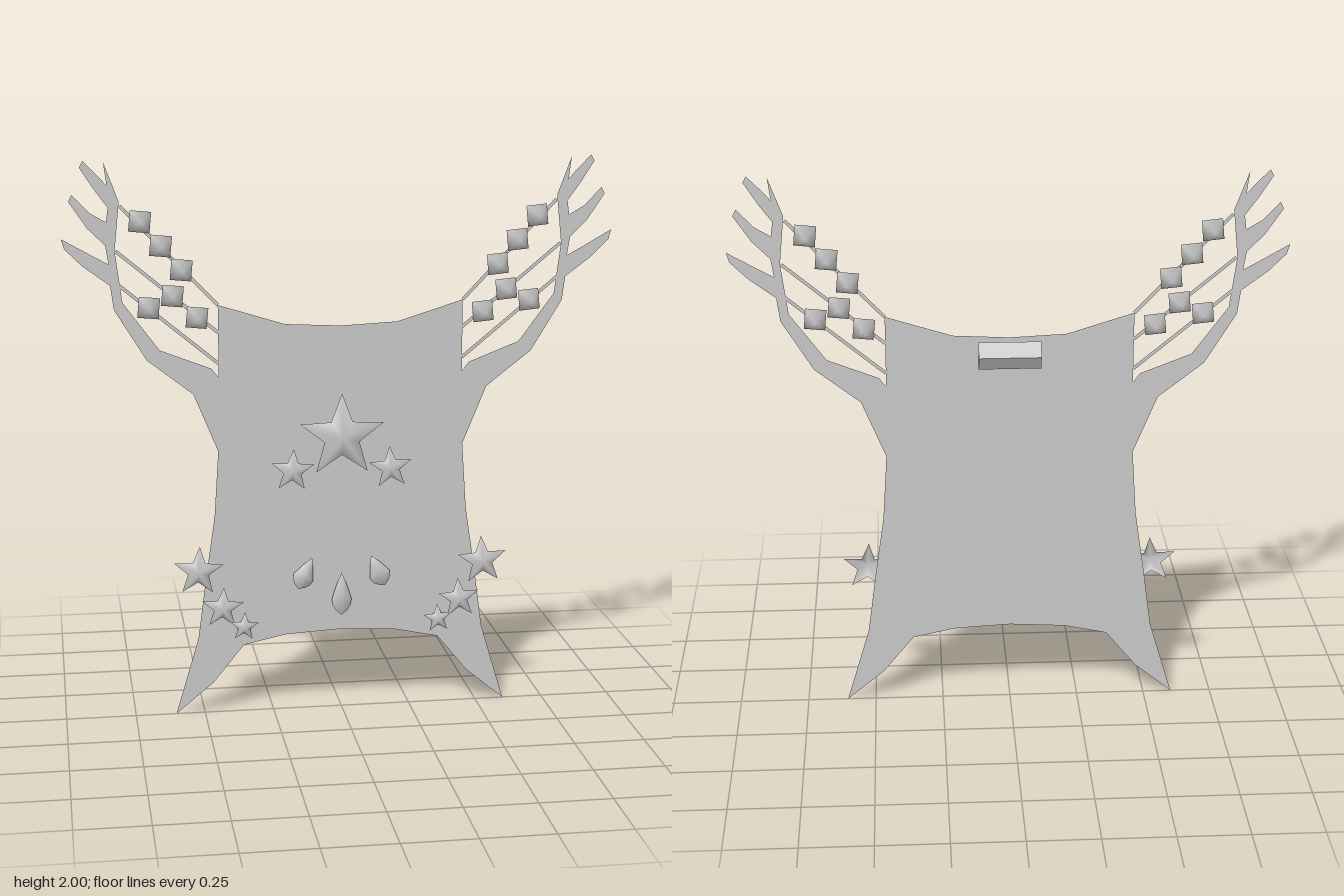
import * as THREE from 'three';

const grey = new THREE.MeshStandardMaterial({ color: 0xcccccc, side: THREE.DoubleSide });
grey.name = 'plain grey';

function add(parent, name, geometry, x = 0, y = 0, z = 0, tilt = 0) {
  const mesh = new THREE.Mesh(geometry, grey);
  mesh.name = name;
  mesh.position.set(x, y, z);
  mesh.rotation.z = tilt;
  parent.add(mesh);
  return mesh;
}

// Smooth fan from an outline ring to one or two apexes; a second apex closes the back
function fan(ring, front, back) {
  const n = ring.length, pos = [], index = [];
  ring.forEach(([x, y]) => pos.push(x, y, 0));
  pos.push(0, 0, front);
  if (back !== undefined) pos.push(0, 0, back);
  for (let i = 0; i < n; i++) {
    const j = (i + 1) % n;
    index.push(i, j, n);
    if (back !== undefined) index.push(j, i, n + 1);
  }
  const g = new THREE.BufferGeometry();
  g.setAttribute('position', new THREE.Float32BufferAttribute(pos, 3));
  g.setIndex(index);
  g.computeVertexNormals();
  return g;
}

// Five-pointed raised star
function star(radius, height) {
  const ring = [];
  for (let i = 0; i < 10; i++) {
    const r = i % 2 ? radius * 0.42 : radius;
    const a = Math.PI / 2 + i * Math.PI / 5;
    ring.push([r * Math.cos(a), r * Math.sin(a)]);
  }
  return fan(ring, height);
}

// Raised teardrop with its point up
function drop(width, length) {
  const half = [[0.5, 0.22], [0.95, -0.12], [0.85, -0.28], [0.5, -0.4]];
  const right = half.map(([x, y]) => [x * width, y * length]);
  const left = right.map(([x, y]) => [-x, y]);
  return fan([[0, length / 2], ...left, [0, -length / 2], ...right.reverse()], 0.03);
}

// Thin flat cord between two points
function cord(x1, y1, x2, y2, width = 0.012) {
  const g = new THREE.PlaneGeometry(Math.hypot(x2 - x1, y2 - y1), width);
  g.rotateZ(Math.atan2(y2 - y1, x2 - x1));
  g.translate((x1 + x2) / 2, (y1 + y2) / 2, 0);
  return g;
}

export function createModel() {
  const model = new THREE.Group();
  model.name = 'antleredHide';

  // Half outline of the hide, from top centre round the antler to bottom centre
  const half = [
    [0, 1.412], [0.2, 1.422], [0.435, 1.495], [0.435, 1.237],
    // inner edge of the antler
    [0.46, 1.27], [0.64, 1.34], [0.765, 1.51], [0.788, 1.69], [0.77, 1.86], [0.82, 1.995],
    // three tines
    [0.81, 1.915], [0.836, 1.945], [0.89, 2.0], [0.902, 1.978], [0.852, 1.9], [0.808, 1.84],
    [0.815, 1.79], [0.87, 1.822], [0.93, 1.885], [0.942, 1.862], [0.88, 1.77], [0.82, 1.71],
    [0.81, 1.645], [0.87, 1.678], [0.97, 1.735], [0.96, 1.7], [0.9, 1.64], [0.806, 1.57],
    // outer edge of the antler, flank and leg
    [0.795, 1.485], [0.685, 1.305], [0.525, 1.18], [0.44, 0.972], [0.456, 0.733], [0.49, 0.505],
    [0.52, 0.283], [0.604, 0.0], [0.467, 0.113], [0.356, 0.25], [0.2, 0.283], [0, 0.294],
  ];
  const mirrored = half.slice(1, -1).reverse().map(([x, y]) => [-x, y]);
  const outline = [...half, ...mirrored].map(([x, y]) => new THREE.Vector2(x, y));
  add(model, 'hide', new THREE.ShapeGeometry(new THREE.Shape(outline)));

  // Chest stars
  add(model, 'chestStar', star(0.157, 0.038), 0, 1.015, 0.02);

  // Square double-pointed gem
  const gem = fan([0, 1, 2, 3].map(i => {
    const a = Math.PI / 4 + i * Math.PI / 2;
    return [0.052 * Math.cos(a), 0.052 * Math.sin(a)];
  }), 0.055, -0.055);
  const gems = [[0.7, 1.79], [0.63, 1.705], [0.56, 1.62], [0.675, 1.49], [0.592, 1.53], [0.508, 1.452]];
  const cords = [[0.768, 1.845, 0.435, 1.495], [0.785, 1.69, 0.435, 1.398], [0.775, 1.57, 0.435, 1.288]];
  const flankStars = [[0.517, 0.535, 0.093], [0.432, 0.395, 0.078], [0.355, 0.322, 0.055]];

  for (const [side, s] of [['left', 1], ['right', -1]]) {
    add(model, side + 'ChestSmallStar', star(0.08, 0.02), s * 0.177, 0.895, 0.015, s * 0.06);
    for (const [x, y, r] of flankStars)
      add(model, side + 'FlankStar', star(r, 0.012 + r * 0.15), s * x, y, 0.012, s * 0.06);
    for (const [x, y] of gems)
      add(model, side + 'Gem', gem, s * x, y, 0, s * 0.1);
    for (const [x1, y1, x2, y2] of cords)
      add(model, side + 'Cord', cord(s * x1, y1, s * x2, y2));
    add(model, side + 'Drop', drop(0.04, 0.125), s * 0.133, 0.512, 0.01, s * 0.42);
  }
  add(model, 'middleDrop', drop(0.038, 0.16), 0, 0.43, 0.01);

  // Wedge-shaped hanger on the back
  const wedge = new THREE.Shape([[0.006, -0.05], [0.034, 0], [0.006, 0.05]].map(p => new THREE.Vector2(...p)));
  const hanger = new THREE.ExtrudeGeometry(wedge, { depth: 0.22, bevelEnabled: false });
  hanger.translate(0, 0, -0.11).rotateY(Math.PI / 2);
  add(model, 'backHanger', hanger, 0, 1.347, 0);

  return model;
}
